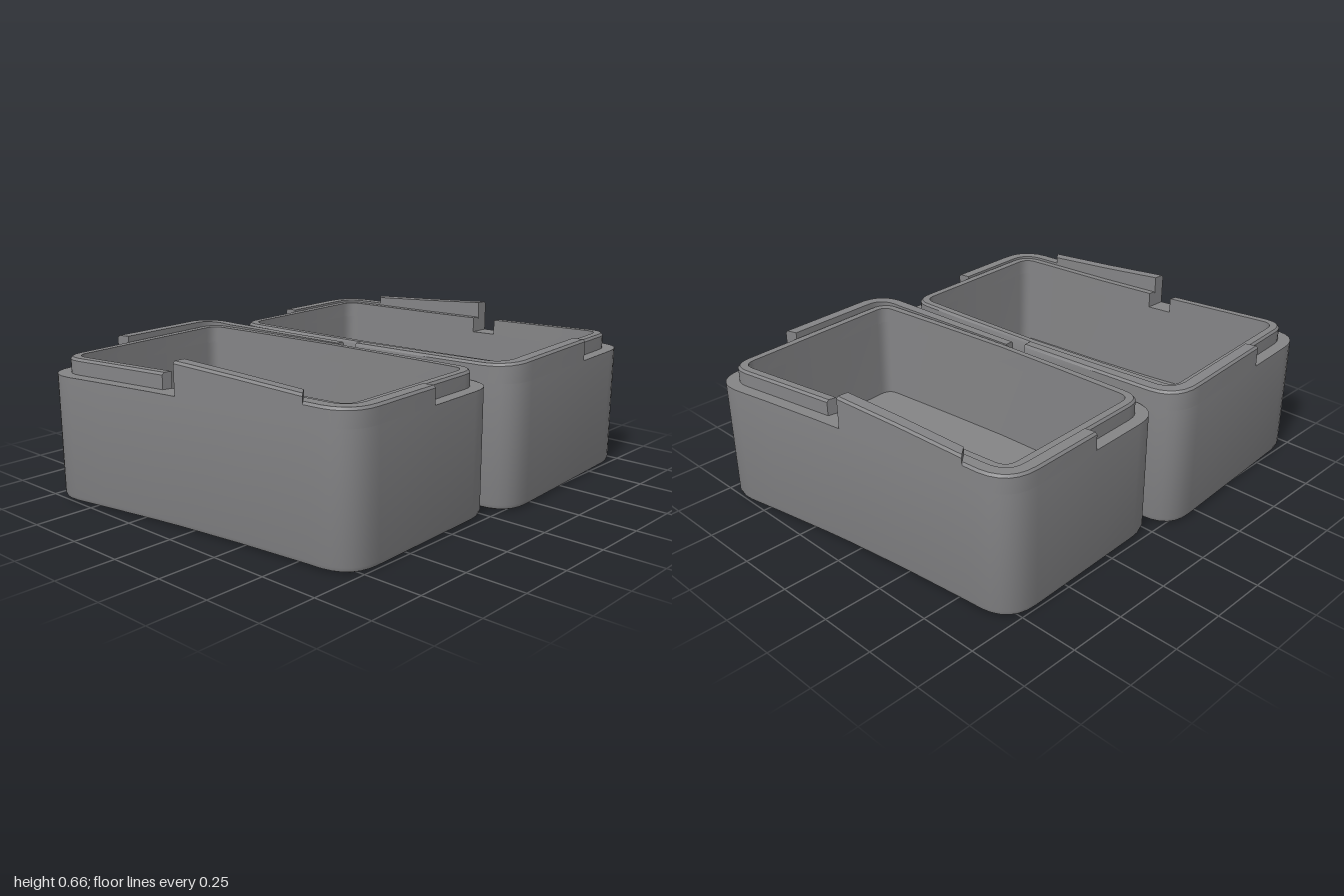
import * as THREE from 'three';
import { toCreasedNormals } from 'three/addons/utils/BufferGeometryUtils.js';

// slightly skewed plan of one tray: corners as (x, z), going round the outline
const CORNERS = [[-0.797, 0.058], [-0.738, 1.017], [0.752, 0.81], [0.722, -0.048]]
  .map(([x, z]) => new THREE.Vector2(x, z));
// points along each edge, among them the places where the rim steps (fraction of the edge)
const STEPS = [[0.6], [0.2, 0.376, 0.456, 0.65, 0.859], [0.535], [0.25, 0.494, 0.75]];
const ARC = 6;
// point indices of the rim steps in the outline
const LEFT = 7, GAP = 16, TAB_START = 17, TAB_END = 19, RIGHT = 27, BACK = 36, COUNT = 38;
// the front wall is bowed inwards, the inside of the back wall is thinned in the middle
const BOW = [() => 0, () => -0.02, () => 0, (inset) => -0.2 * inset];

// outline moved inwards by a distance, with rounded corners
function outline(inset) {
  const dir = CORNERS.map((c, k) => CORNERS[(k + 1) % 4].clone().sub(c).normalize());
  const inner = CORNERS.map((c, k) => {
    const a = dir[(k + 3) % 4], b = dir[k];
    const s = inset / (a.x * b.y - a.y * b.x);
    return c.clone().addScaledVector(a, s).addScaledVector(b, -s);
  });
  const cut = Math.max(0.14 - inset, 0.04);
  const pts = [];
  inner.forEach((c, k) => {
    const from = c.clone().addScaledVector(dir[(k + 3) % 4], -cut);
    const to = c.clone().addScaledVector(dir[k], cut);
    pts.push(...new THREE.QuadraticBezierCurve(from, c, to).getPoints(ARC));
    for (const f of STEPS[k]) {
      const p = c.clone().lerp(inner[(k + 1) % 4], f);
      p.y += BOW[k](inset) * (4 * f * (1 - f)) ** 2;
      pts.push(p);
    }
  });
  return pts;
}

// sweeps a closed section of [inset, height] points along the outline
function sweep(section, start = 0, end = COUNT) {
  const closed = end - start === COUNT;
  const n = section(0).length, pos = [], idx = [];
  const rings = section(0).map(([inset]) => outline(inset));
  for (let i = start; i <= end; i++) {
    section((i - start) / (end - start)).forEach(([, y], j) => {
      const p = rings[j][i % COUNT];
      pos.push(p.x, y, p.y);
    });
  }
  for (let i = 0; i < end - start; i++) {
    for (let j = 0; j < n; j++) {
      const a = i * n + j, b = i * n + (j + 1) % n;
      idx.push(a, a + n, b + n, a, b + n, b);
    }
  }
  if (!closed) {
    const e = (end - start) * n;
    for (let j = 1; j < n - 1; j++) idx.push(0, j, j + 1, e, e + j + 1, e + j);
  }
  const geo = new THREE.BufferGeometry();
  geo.setAttribute('position', new THREE.Float32BufferAttribute(pos, 3));
  geo.setIndex(idx);
  return toCreasedNormals(geo, 0.6);
}

// strip of rim with a small chamfer on its outer top edge; the top may slope
const strip = (outer, inner, low, top0, top1 = top0) => (t) => {
  const top = top0 + (top1 - top0) * t;
  return [[outer, low], [outer, top - 0.01], [outer + 0.008, top], [inner, top], [inner, low]];
};

function makeTray(material) {
  const tray = new THREE.Group();
  const add = (name, geo) => {
    const mesh = new THREE.Mesh(geo, material);
    mesh.name = name;
    tray.add(mesh);
  };

  // main wall with a softened foot and a recess below the floor
  add('wall', sweep(() => [
    [0.02, 0.006], [0.006, 0.013], [0, 0.03], [0, 0.53],
    [0.088, 0.53], [0.088, 0.16], [0.06, 0.15], [0.032, 0.006],
  ]));

  // floor slab
  const shape = new THREE.Shape(outline(0.07).map((p) => new THREE.Vector2(p.x, -p.y)));
  const floor = new THREE.ExtrudeGeometry(shape, { depth: 0.03, bevelEnabled: false });
  floor.rotateX(-Math.PI / 2).translate(0, 0.145, 0);
  add('floor', floor);

  // inner lip, broken by a gap beside the tab
  add('innerLip', sweep(strip(0.05, 0.088, 0.525, 0.597), TAB_START, GAP + COUNT));

  // raised outer rim on two opposite corners
  add('frontRaisedRim', sweep(strip(0, 0.052, 0.53, 0.605), TAB_START, RIGHT));
  add('backRaisedRim', sweep(strip(0, 0.052, 0.53, 0.6, 0.622), BACK, COUNT + LEFT));

  // sloping latch tab
  add('latchTab', sweep(strip(0, 0.052, 0.595, 0.665, 0.633), TAB_START, TAB_END));
  return tray;
}

export function createModel() {
  const grey = new THREE.MeshStandardMaterial({ color: 0x848486 });
  grey.name = 'grey plastic';
  const model = new THREE.Group();
  model.name = 'twoHalfCase';
  // two equal halves, turned half a circle from one another
  ['frontTray', 'backTray'].forEach((name, i) => {
    const tray = makeTray(grey);
    tray.name = name;
    tray.rotation.y = i * Math.PI;
    model.add(tray);
  });
  return model;
}
